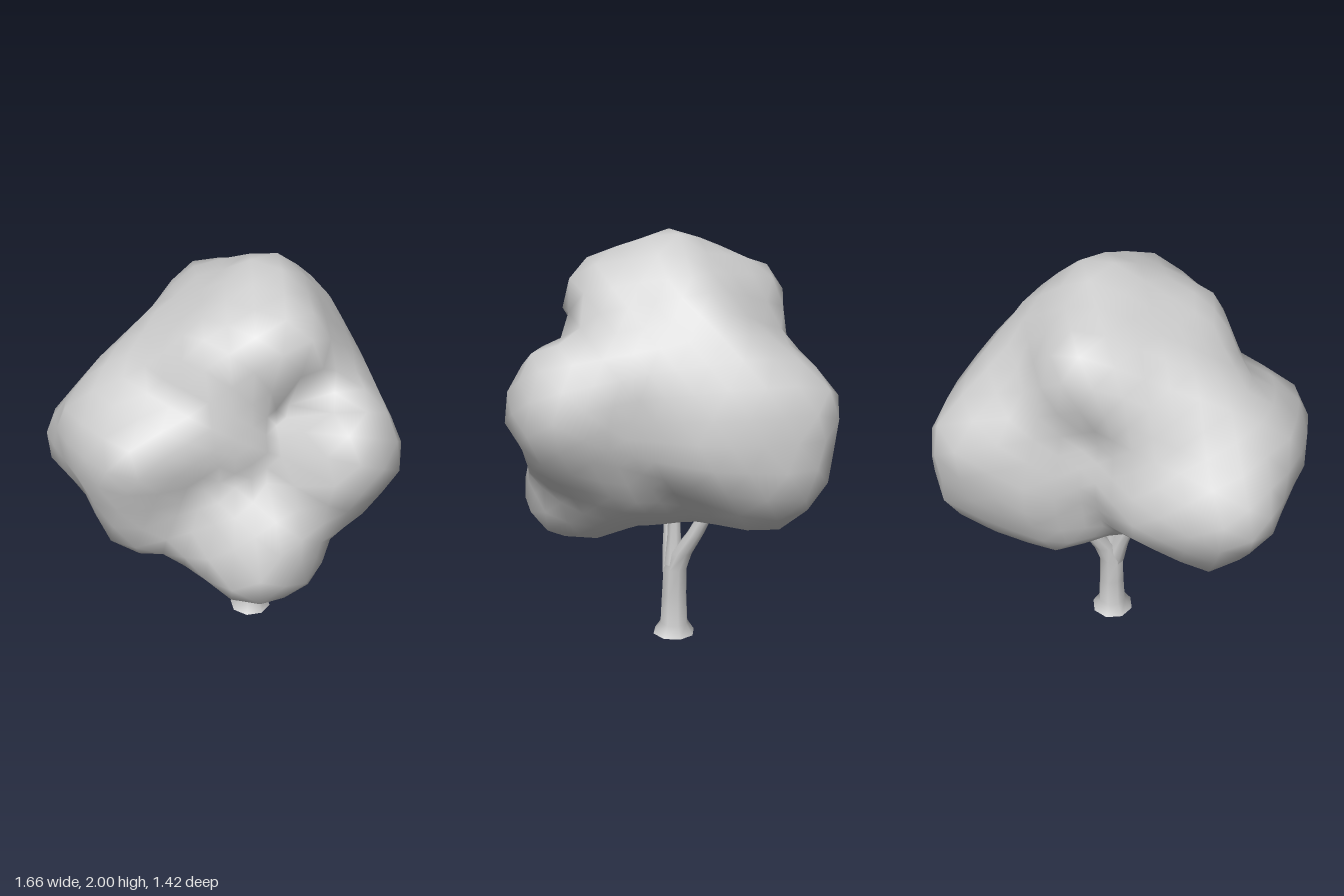
import * as THREE from 'three';
import { mergeVertices } from 'three/addons/utils/BufferGeometryUtils.js';

// Centres of the leaf puffs in each lobe of the crown
const PUFFS = {
  top: [
    [0.14, 1.79, -0.07], [-0.2, 1.64, 0.05], [-0.21, 1.58, -0.25], [0.32, 1.63, -0.12],
    [0.06, 1.68, 0.2], [0.08, 1.65, -0.42],
  ],
  front: [
    [0.14, 1.2, 0.5], [0.27, 1.2, 0.48], [0.22, 1.33, 0.45], [0.2, 1.07, 0.43],
    [-0.15, 1.25, 0.14], [-0.25, 1.35, 0.09], [0.34, 1.15, 0.16], [0.36, 1.4, 0.1],
  ],
  lowFront: [
    [-0.21, 0.71, 0.35], [-0.1, 0.69, 0.25], [-0.08, 0.71, 0.36], [-0.12, 0.82, 0.34],
    [0.05, 0.86, 0.28], [-0.36, 0.86, 0.04], [-0.33, 1.05, 0.02],
  ],
  right: [
    [-0.63, 1.2, -0.13], [-0.6, 1.26, 0], [-0.58, 1.1, -0.48], [-0.25, 1.1, -0.5],
    [-0.61, 1.3, -0.25], [-0.54, 0.89, -0.08], [-0.45, 0.91, -0.4],
    [-0.42, 1.44, -0.27], [-0.2, 1.42, -0.38],
  ],
  left: [
    [0.62, 0.98, -0.44], [0.59, 1.24, -0.5], [0.32, 1.08, -0.48], [0.58, 1.28, -0.3],
    [0.53, 0.88, -0.38], [0.55, 1.05, -0.17], [0.25, 0.86, -0.4],
    [0.46, 1.46, -0.2], [0.25, 1.42, -0.38], [0.46, 1.25, -0.02],
  ],
  back: [[0.04, 1.2, -0.35], [0, 0.95, -0.28]],
  underside: [
    [0.28, 0.87, -0.15], [0.25, 0.92, 0.15], [-0.06, 0.77, -0.03], [0.08, 0.8, 0.18],
    [-0.2, 0.85, -0.2],
  ],
};
const PUFF_RADIUS = 0.216;
const REACH = 0.45; // puffs closer than this are joined by a solid web
const CORE_RADIUS = 0.45;

// Puff centres plus the points filling every triangle of neighbouring puffs
function webCentres() {
  const puffs = Object.values(PUFFS).flat().map((c) => new THREE.Vector3(...c));
  const near = (a, b) => a.distanceTo(b) < REACH;
  const centres = [];
  const n = 3;
  puffs.forEach((a, i) => {
    for (let j = i; j < puffs.length; j++) {
      const b = puffs[j];
      if (!near(a, b)) continue;
      for (let k = j; k < puffs.length; k++) {
        const c = puffs[k];
        if (!near(a, c) || !near(b, c)) continue;
        for (let u = 0; u <= n; u++) {
          for (let v = 0; u + v <= n; v++) {
            centres.push(new THREE.Vector3()
              .addScaledVector(a, u / n)
              .addScaledVector(b, v / n)
              .addScaledVector(c, (n - u - v) / n));
          }
        }
      }
    }
  });
  return centres;
}

// Coarse sphere whose vertices are pushed out to the farthest puff surface
function crownGeometry() {
  let geo = new THREE.IcosahedronGeometry(1, 6);
  geo.deleteAttribute('normal');
  geo.deleteAttribute('uv');
  geo = mergeVertices(geo);
  const middle = new THREE.Vector3(0, 1.15, -0.08);
  const offsets = webCentres().map((c) => c.sub(middle));
  const pos = geo.attributes.position;
  const dir = new THREE.Vector3();
  for (let i = 0; i < pos.count; i++) {
    dir.fromBufferAttribute(pos, i).normalize();
    let reach = CORE_RADIUS;
    for (const o of offsets) {
      const along = o.dot(dir);
      const h = PUFF_RADIUS ** 2 - o.lengthSq() + along ** 2;
      if (h > 0) reach = Math.max(reach, along + Math.sqrt(h));
    }
    dir.multiplyScalar(reach).add(middle);
    pos.setXYZ(i, dir.x, dir.y, dir.z);
  }
  geo.computeVertexNormals();
  return geo;
}

// Tapered limb through rings of x, y, z, radius, from bottom to top
function limbGeometry(rings, sides) {
  const last = rings.length - 1;
  let geo = new THREE.CylinderGeometry(1, 1, 1, sides, last);
  geo.deleteAttribute('uv');
  geo = mergeVertices(geo);
  const pos = geo.attributes.position;
  for (let i = 0; i < pos.count; i++) {
    const [x, y, z, r] = rings[Math.round((pos.getY(i) + 0.5) * last)];
    pos.setXYZ(i, x + pos.getX(i) * r, y, z + pos.getZ(i) * r);
  }
  geo.computeVertexNormals();
  return geo;
}

export function createModel() {
  const group = new THREE.Group();
  group.name = 'tree';
  const material = new THREE.MeshStandardMaterial({ color: 0xcccccc });
  const add = (name, geometry) => {
    const mesh = new THREE.Mesh(geometry, material);
    mesh.name = name;
    group.add(mesh);
  };

  add('crown', crownGeometry());

  // Flared trunk running on into the main branch
  add('trunk', limbGeometry([
    [0.095, 0, -0.11, 0.105], [0.097, 0.055, -0.11, 0.07], [0.097, 0.2, -0.11, 0.063],
    [0.095, 0.34, -0.115, 0.06], [0.125, 0.43, -0.14, 0.052],
    [0.175, 0.54, -0.19, 0.042], [0.22, 0.67, -0.24, 0.036],
  ], 8));
  add('sideBranch', limbGeometry([
    [0.09, 0.32, -0.11, 0.057], [0.055, 0.44, -0.11, 0.047],
    [0.015, 0.54, -0.12, 0.04], [-0.02, 0.63, -0.125, 0.037],
  ], 8));
  add('middleBranch', limbGeometry([
    [0.095, 0.36, -0.11, 0.05], [0.09, 0.5, -0.11, 0.035], [0.09, 0.62, -0.11, 0.03],
  ], 8));
  return group;
}
